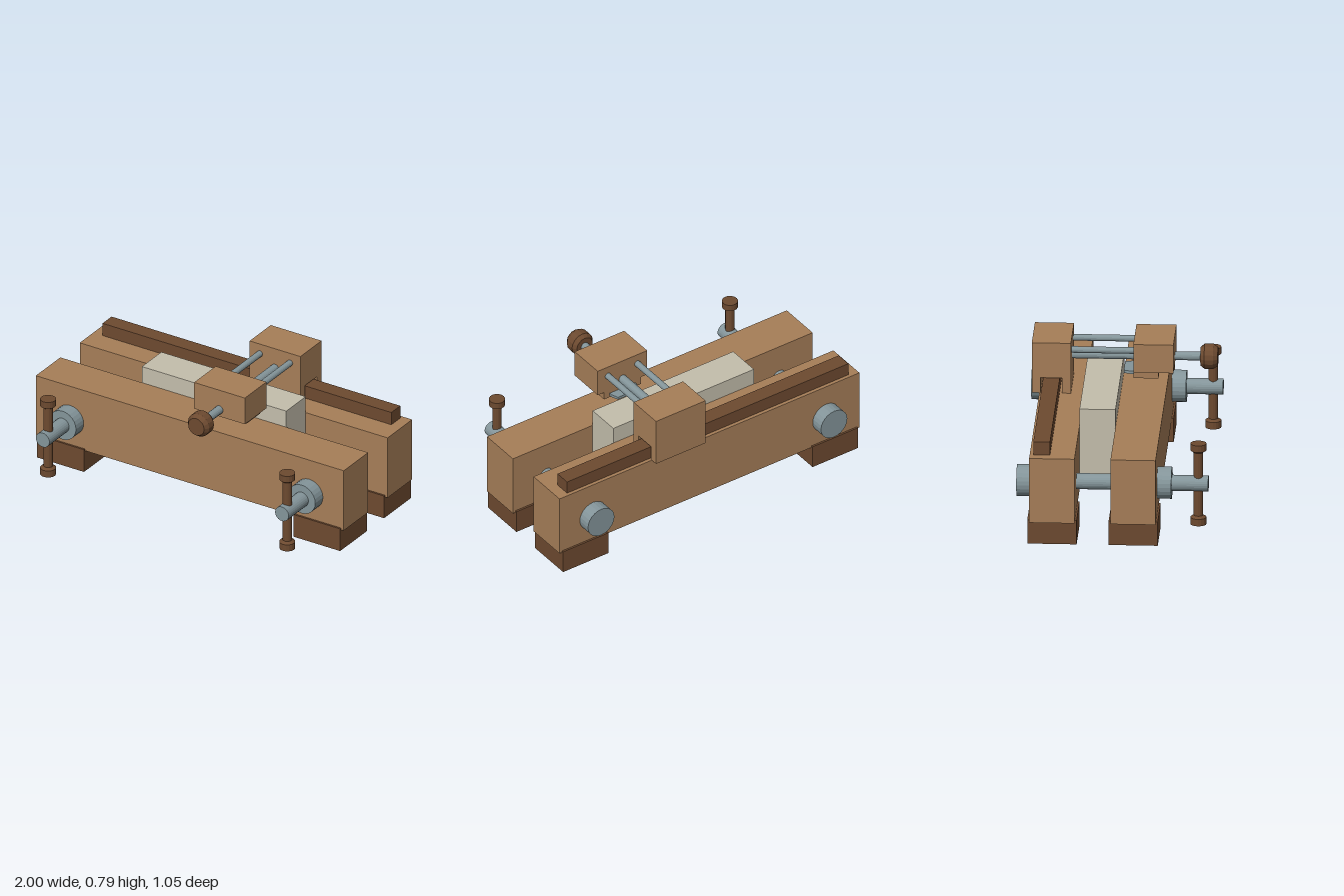
import * as THREE from 'three';

const mat = (color) => new THREE.MeshStandardMaterial({ color, flatShading: true });

export function createModel() {
  const group = new THREE.Group();
  group.name = 'moxonVise';
  const wood = mat(0xa67e58), dark = mat(0x6d4a30), steel = mat(0x84959a), stock = mat(0xc4beac);

  const add = (name, geometry, material) => {
    const mesh = new THREE.Mesh(geometry, material);
    mesh.name = name;
    group.add(mesh);
    return mesh;
  };
  // Box given by its limits on each axis
  const box = (name, material, [x0, x1], [y0, y1], [z0, z1]) => {
    const m = add(name, new THREE.BoxGeometry(x1 - x0, y1 - y0, z1 - z0), material);
    m.position.set((x0 + x1) / 2, (y0 + y1) / 2, (z0 + z1) / 2);
    return m;
  };
  // Round bar along z
  const bar = (name, x, y, r, z0, z1, sides = 24) => {
    const g = new THREE.CylinderGeometry(r, r, z1 - z0, sides).rotateX(Math.PI / 2);
    add(name, g, steel).position.set(x, y, (z0 + z1) / 2);
  };
  const lathe = (pts, sides) =>
    new THREE.LatheGeometry(pts.map(([r, y]) => new THREE.Vector2(r, y)), sides);

  // Jaws, workpiece and rail
  box('frontJaw', wood, [-1, 1], [0.127, 0.5], [0, 0.247]);
  box('backJaw', wood, [-1, 1], [0.127, 0.5], [-0.445, -0.197]);
  box('workpiece', stock, [-0.47, 0.468], [0.2, 0.6], [-0.197, 0]);
  box('rail', dark, [-0.94, 0.936], [0.5, 0.576], [-0.425, -0.334]);

  // Clamp screws, handles and feet on both sides
  const handle = [[0, 0.058], [0.044, 0.058], [0.044, 0.098], [0.026, 0.11],
    [0.026, 0.474], [0.044, 0.486], [0.044, 0.525], [0, 0.525]];
  for (const s of [-1, 1]) {
    const x = s * 0.777, fx = s * 0.832;
    bar('clampScrew', x, 0.293, 0.044, -0.5, 0.525);
    bar('frontCollar', x, 0.293, 0.088, 0.24, 0.325);
    bar('backNut', x, 0.293, 0.088, -0.523, -0.44);
    add('handle', lathe(handle, 16), dark).position.set(x, 0, 0.47);
    box('frontFoot', dark, [fx - 0.152, fx + 0.152], [0, 0.138], [-0.011, 0.258]);
    box('backFoot', dark, [fx - 0.152, fx + 0.152], [0, 0.138], [-0.456, -0.186]);
  }

  // Sliding carriage, notched over the rail; outline drawn in (-z, y)
  const side = new THREE.Shape([[0.272, 0.5], [0.32, 0.5], [0.32, 0.588], [0.438, 0.588],
    [0.438, 0.5], [0.486, 0.5], [0.486, 0.79], [0.272, 0.79]].map(([a, b]) => new THREE.Vector2(a, b)));
  const carriage = new THREE.ExtrudeGeometry(side, { depth: 0.33, bevelEnabled: false });
  add('carriage', carriage.rotateY(Math.PI / 2), wood).position.x = 0.055;

  // Cutter head with its lip and small blade
  box('cutterHead', wood, [0.055, 0.385], [0.627, 0.79], [0.07, 0.289]);
  box('bladeHolder', wood, [0.097, 0.343], [0.58, 0.627], [0.07, 0.205]);
  const tip = new THREE.Shape([[-0.085, -0.09], [0.085, -0.09], [0.085, -0.055],
    [0.07, -0.013], [-0.07, -0.013], [-0.085, -0.055]].map(([a, b]) => new THREE.Vector2(a, b)));
  const blade = new THREE.ExtrudeGeometry(tip, { depth: 0.016, bevelEnabled: false });
  add('blade', blade.rotateX(-Math.PI / 2), steel).position.set(0.22, 0.59, 0);

  // Guide rods, feed screw and knob
  for (const x of [0.122, 0.318]) bar('guideRod', x, 0.731, 0.018, -0.3, 0.1, 16);
  bar('feedScrew', 0.22, 0.67, 0.024, -0.3, 0.45, 16);
  const knob = lathe([[0, 0.43], [0.052, 0.43], [0.069, 0.452], [0.069, 0.5],
    [0.052, 0.525], [0, 0.525]], 16).rotateX(Math.PI / 2);
  add('knob', knob, dark).position.set(0.22, 0.67, 0);

  return group;
}
